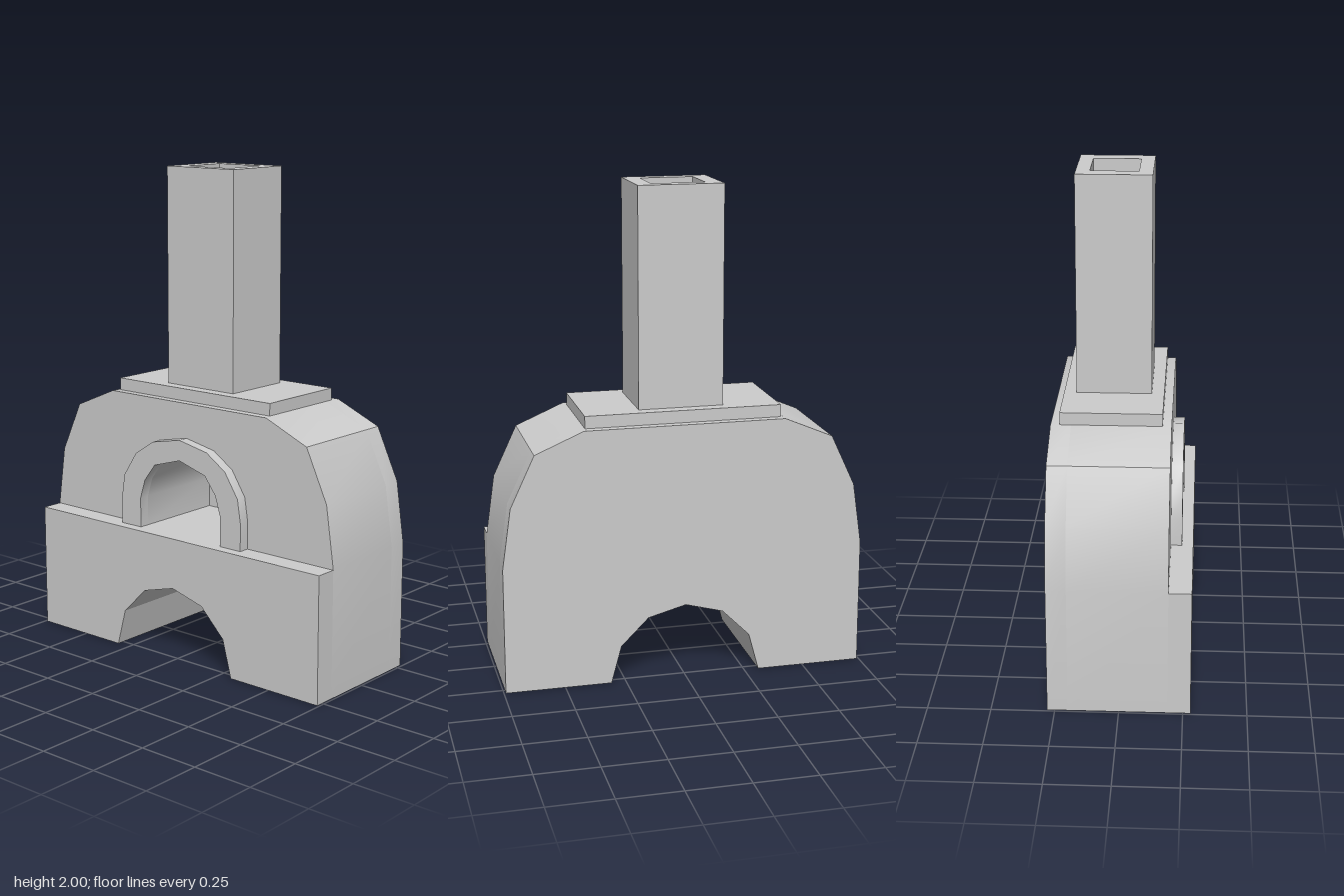
import * as THREE from 'three';
import { toCreasedNormals } from 'three/addons/utils/BufferGeometryUtils.js';

const material = new THREE.MeshStandardMaterial({ color: 0xcccccc });

// Right half of a profile, ending near the centre line, mirrored into a full outline
const mirrored = (half) => {
  const left = half.filter(([x]) => x !== 0).reverse().map(([x, y]) => [-x, y]);
  return [...half, ...left].map(([x, y]) => new THREE.Vector2(x, y));
};

const addMesh = (group, name, geometry) => {
  const mesh = new THREE.Mesh(geometry, material);
  mesh.name = name;
  group.add(mesh);
  return mesh;
};

// Extrude a shape between two z positions
const addSlab = (group, name, shape, z0, z1) => {
  const geo = new THREE.ExtrudeGeometry(shape, { depth: z1 - z0, bevelEnabled: false });
  geo.translate(0, 0, z0);
  return addMesh(group, name, toCreasedNormals(geo, 0.45));
};

// Half profiles
const DOME = [[0.742, 0.52], [0.706, 0.77], [0.608, 0.98], [0.41, 1.065]];
const LOWER_ARCH = [[0.31, 0], [0.268, 0.155], [0.155, 0.268], [0, 0.31]];
const MOUTH = [[0.215, 0.52], [0.215, 0.645], [0.19, 0.725], [0.135, 0.797], [0, 0.837]];
const TRIM = [[0.32, 0.52], [0.32, 0.635], [0.305, 0.73], [0.24, 0.83], [0.145, 0.893], [0, 0.922]];

// Outline with the arched opening cut out of its base
const archedShape = (upper) => {
  const arch = mirrored(LOWER_ARCH).reverse(); // left foot to right foot
  const outer = mirrored([[0.742, 0], ...upper]);
  return new THREE.Shape([...outer, ...arch]);
};

export function createModel() {
  const model = new THREE.Group();
  model.name = 'oven';

  // Domed body: solid back wall, then the chamber with its mouth
  const body = new THREE.Group();
  body.name = 'body';
  model.add(body);
  addSlab(body, 'backWall', archedShape(DOME), -0.28, -0.2);
  const chamber = archedShape(DOME);
  chamber.holes.push(new THREE.Path(mirrored(MOUTH)));
  addSlab(body, 'chamber', chamber, -0.2, 0.19);

  // Ledge in front of the mouth
  addSlab(body, 'frontLedge', archedShape([[0.742, 0.52]]), 0.19, 0.28);

  // Raised arch around the mouth
  const trim = new THREE.Shape([...mirrored(TRIM), ...mirrored(MOUTH).reverse()]);
  addSlab(model, 'mouthArch', trim, 0.19, 0.235);

  // Plate on top of the dome
  const plate = new THREE.BoxGeometry(0.8, 0.05, 0.4);
  addMesh(model, 'topPlate', plate).position.set(0, 1.09, -0.045);

  // Hollow square chimney
  const rect = (Type, w, d) => new Type([[-w, -d], [w, -d], [w, d], [-w, d]]
    .map(([x, y]) => new THREE.Vector2(x, y)));
  const flue = rect(THREE.Shape, 0.173, 0.15);
  flue.holes.push(rect(THREE.Path, 0.108, 0.095));
  const chimney = new THREE.ExtrudeGeometry(flue, { depth: 0.885, bevelEnabled: false });
  chimney.rotateX(-Math.PI / 2);
  addMesh(model, 'chimney', chimney).position.set(0, 1.115, -0.045);

  return model;
}
